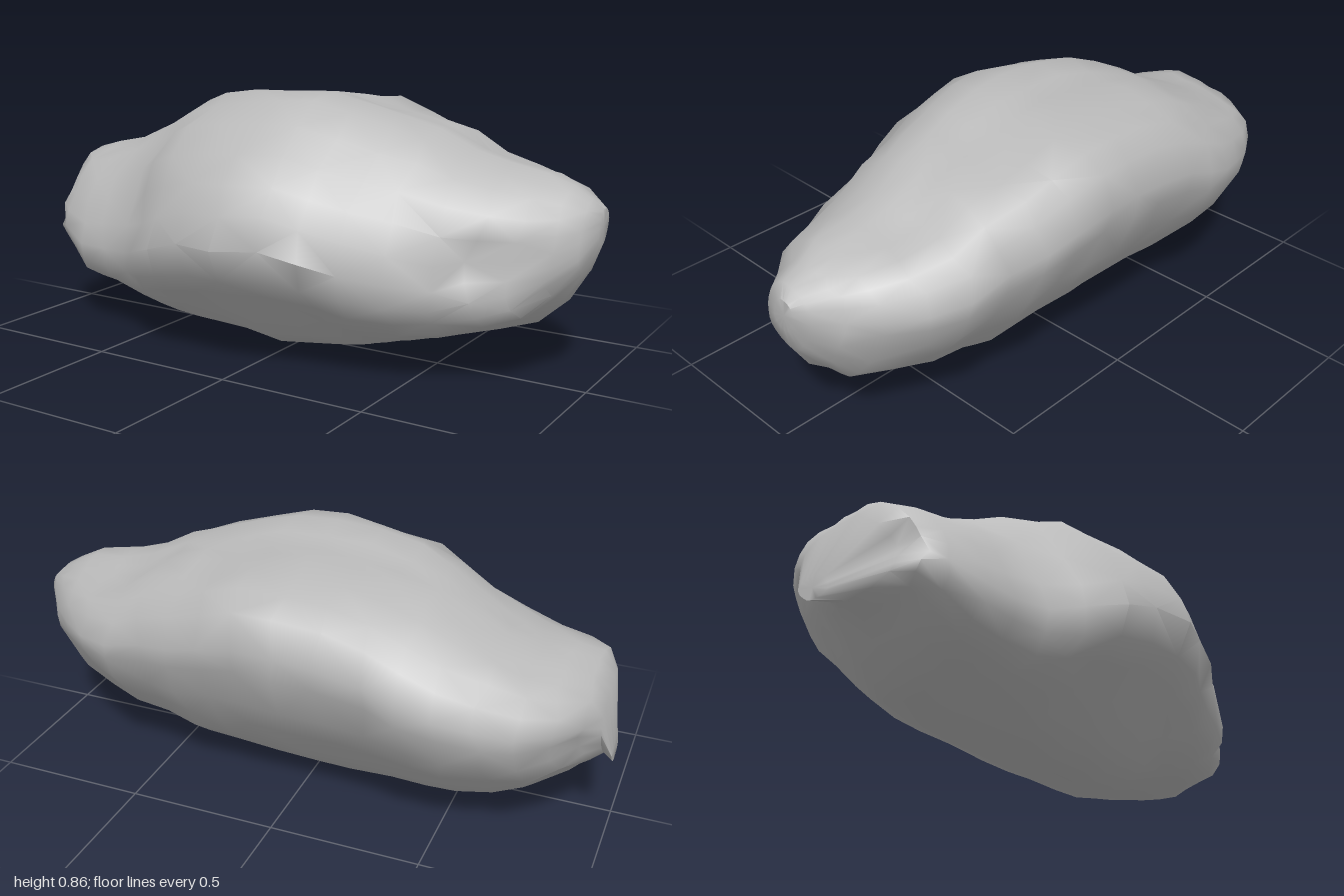
import * as THREE from 'three';
import { toCreasedNormals } from 'three/addons/utils/BufferGeometryUtils.js';

// Cross-sections as [z, y], running front, top, back, underside: pointed at the middle, fuller low down at the ends
const MIDDLE = [
  [0.53, 0.42], [0.49, 0.52], [0.45, 0.61], [0.36, 0.69], [0.27, 0.78], [0.16, 0.845], [0.05, 0.86],
  [-0.05, 0.845], [-0.13, 0.83], [-0.2, 0.835], [-0.3, 0.815], [-0.42, 0.8], [-0.49, 0.75], [-0.53, 0.64],
  [-0.52, 0.56], [-0.45, 0.41], [-0.37, 0.29], [-0.27, 0.16], [-0.18, 0.07], [-0.08, 0.02], [0.05, 0],
  [0.14, 0.03], [0.23, 0.075], [0.32, 0.16], [0.41, 0.24], [0.49, 0.31],
];
const ENDS = [
  [0.53, 0.31], [0.51, 0.42], [0.46, 0.54], [0.39, 0.65], [0.29, 0.75], [0.17, 0.82], [0.05, 0.86],
  [-0.05, 0.855], [-0.14, 0.845], [-0.23, 0.83], [-0.33, 0.8], [-0.42, 0.75], [-0.49, 0.68], [-0.53, 0.58],
  [-0.52, 0.5], [-0.46, 0.37], [-0.38, 0.26], [-0.28, 0.15], [-0.18, 0.07], [-0.07, 0.02], [0.05, 0],
  [0.16, 0.02], [0.28, 0.05], [0.39, 0.09], [0.47, 0.15], [0.52, 0.22],
];

// Extent of the rock along its length: [x, bottom, top, back, front]
const STATIONS = [
  [-1, 0.28, 0.36, -0.18, -0.06], [-0.965, 0.26, 0.53, -0.22, 0.16], [-0.92, 0.24, 0.59, -0.3, 0.23],
  [-0.85, 0.19, 0.62, -0.39, 0.27], [-0.75, 0.11, 0.65, -0.44, 0.31], [-0.65, 0.08, 0.7, -0.48, 0.32],
  [-0.53, 0.055, 0.75, -0.51, 0.35], [-0.42, 0.03, 0.8, -0.53, 0.42], [-0.3, 0.02, 0.83, -0.53, 0.48],
  [-0.16, 0.012, 0.85, -0.53, 0.51], [-0.02, 0, 0.86, -0.53, 0.53], [0.12, 0.015, 0.86, -0.53, 0.49],
  [0.24, 0.03, 0.825, -0.51, 0.45], [0.36, 0.05, 0.8, -0.49, 0.4], [0.48, 0.08, 0.775, -0.46, 0.35],
  [0.6, 0.11, 0.715, -0.44, 0.3], [0.72, 0.15, 0.68, -0.39, 0.25], [0.83, 0.19, 0.655, -0.32, 0.2],
  [0.91, 0.27, 0.625, -0.25, 0.1], [0.97, 0.36, 0.59, -0.17, 0.04], [1, 0.45, 0.56, -0.13, -0.04],
];

// Hollows (positive) and bumps (negative): x, y, z, radius, depth
const HOLLOWS = [
  [0.74, 0.4, 0.22, 0.11, 0.16], [0.85, 0.4, 0.1, 0.08, 0.12], [0.62, 0.52, 0.22, 0.1, -0.05],
  [-0.95, 0.42, 0.12, 0.08, 0.22], [-0.68, 0.62, -0.05, 0.12, 0.08], [0.6, 0.72, -0.22, 0.12, 0.07],
  [-0.5, 0.5, 0.3, 0.12, 0.05],
];

let seed = 7;
const random = () => (seed = (seed * 16807) % 2147483647) / 2147483647;

// Move one surface point in or out by hollows, broad ripples and grain
function weather(x, y, z, cy, cz) {
  let dent = 0;
  for (const [hx, hy, hz, r, depth] of HOLLOWS) {
    const d2 = (x - hx) ** 2 + (y - hy) ** 2 + (z - hz) ** 2;
    dent += depth * Math.exp(-d2 / (r * r));
  }
  const ripple = 0.015 * Math.sin(9 * x + 7 * y) * Math.sin(11 * z + 5 * x);
  const scale = 1 - dent + ripple + (random() - 0.5) * 0.03;
  const shift = Math.abs(x) < 0.95 ? (random() - 0.5) * 0.035 : 0;
  return [x * (1 - 0.3 * dent) + shift, Math.max(0, cy + (y - cy) * scale), cz + (z - cz) * scale];
}

function rockGeometry() {
  const positions = [];
  const indices = [];
  const n = MIDDLE.length;

  // Rings fitted to each station
  for (const [x, bottom, top, back, front] of STATIONS) {
    const blend = THREE.MathUtils.smoothstep(Math.abs(x), 0.1, 0.6);
    for (let j = 0; j < n; j++) {
      const sz = THREE.MathUtils.lerp(MIDDLE[j][0], ENDS[j][0], blend);
      const sy = THREE.MathUtils.lerp(MIDDLE[j][1], ENDS[j][1], blend);
      const y = bottom + (sy / 0.86) * (top - bottom);
      const z = back + ((sz + 0.53) / 1.06) * (front - back);
      positions.push(...weather(x, y, z, (bottom + top) / 2, (back + front) / 2));
    }
  }

  // Skin, with alternating diagonals for a natural break-up
  for (let i = 0; i < STATIONS.length - 1; i++) {
    for (let j = 0; j < n; j++) {
      const a = i * n + j, d = i * n + ((j + 1) % n);
      const b = a + n, c = d + n;
      if ((i + j) % 2) indices.push(a, b, c, a, c, d);
      else indices.push(a, b, d, b, c, d);
    }
  }

  // Blunt end caps
  const last = (STATIONS.length - 1) * n;
  for (const [start, station] of [[0, STATIONS[0]], [last, STATIONS[STATIONS.length - 1]]]) {
    const [x, bottom, top, back, front] = station;
    const centre = positions.length / 3;
    positions.push(x, (bottom + top) / 2, (back + front) / 2);
    for (let j = 0; j < n; j++) {
      const p = start + j, q = start + ((j + 1) % n);
      if (start === 0) indices.push(centre, p, q);
      else indices.push(centre, q, p);
    }
  }

  const geometry = new THREE.BufferGeometry();
  geometry.setAttribute('position', new THREE.Float32BufferAttribute(positions, 3));
  geometry.setIndex(indices);
  return toCreasedNormals(geometry, 0.8);
}

export function createModel() {
  const group = new THREE.Group();
  group.name = 'rock';
  const stone = new THREE.MeshStandardMaterial({ color: 0xbababa });
  stone.name = 'stone grey';
  const boulder = new THREE.Mesh(rockGeometry(), stone);
  boulder.name = 'boulder';
  group.add(boulder);
  return group;
}
